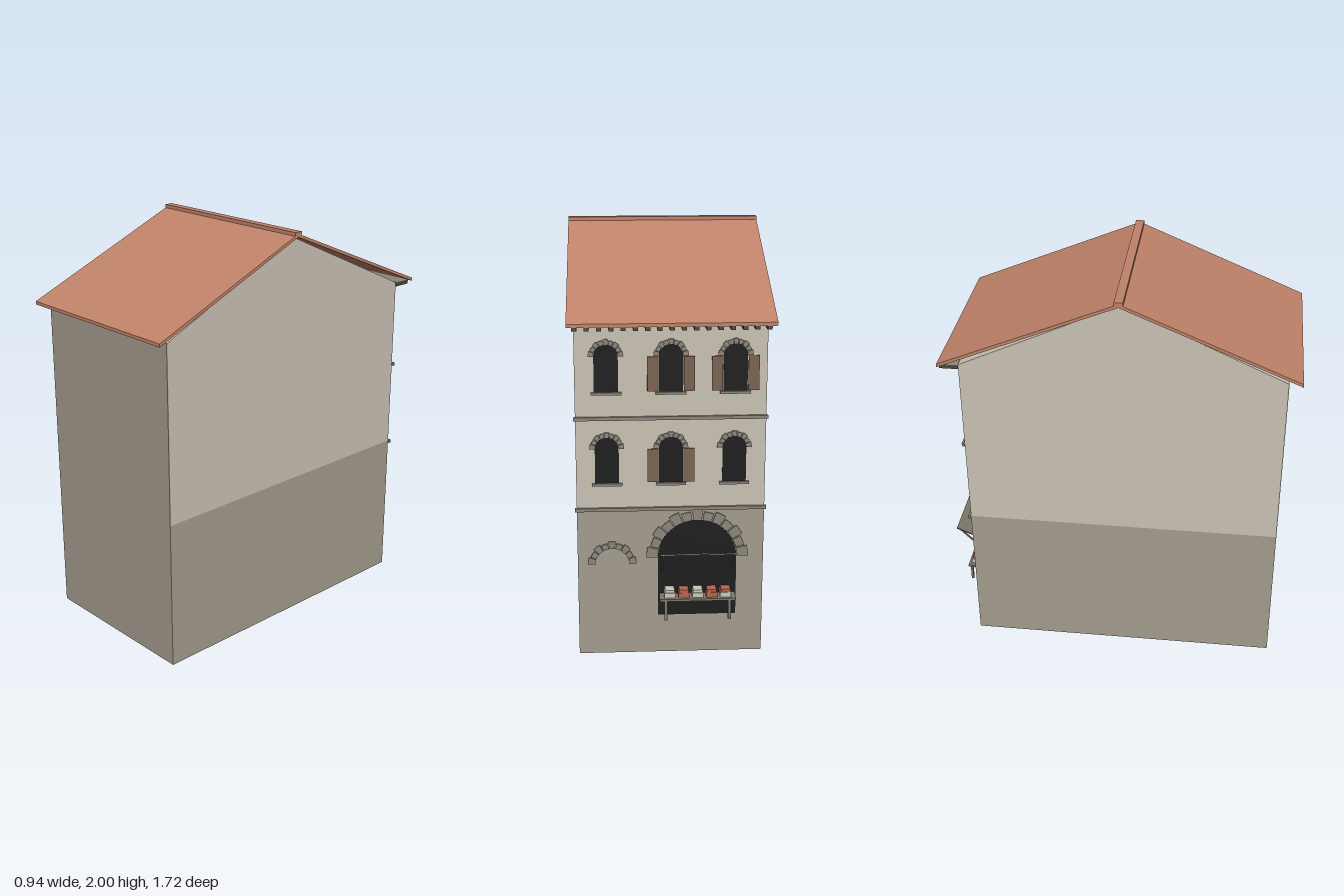
import * as THREE from 'three';

const mat = (name, color) => {
  const m = new THREE.MeshStandardMaterial({ color });
  m.name = name;
  return m;
};

export function createModel() {
  const stone = mat('stone', 0xa39b8d);
  const plaster = mat('plaster', 0xc9c1b4);
  const tile = mat('roofTile', 0xbf8269);
  const trim = mat('trimStone', 0x8b867c);
  const dark = mat('darkOpening', 0x1d1d1d);
  const shutterWood = mat('shutterWood', 0x7a6350);
  const rafterWood = mat('rafterWood', 0x55473b);
  const greyWood = mat('greyWood', 0x7c776a);
  const fruit = mat('redGoods', 0xb9644a);
  const linen = mat('paleGoods', 0xc8c8bc);

  const model = new THREE.Group();
  model.name = 'townHouse';

  const add = (parent, name, geometry, material) => {
    const mesh = new THREE.Mesh(geometry, material);
    mesh.name = name;
    parent.add(mesh);
    return mesh;
  };
  // Box given by its centre in x, bottom in y and back in z
  const box = (parent, name, material, w, h, d, x, y, z) => {
    const mesh = add(parent, name, new THREE.BoxGeometry(w, h, d), material);
    mesh.position.set(x, y + h / 2, z + d / 2);
    return mesh;
  };
  // Prism along x from a list of [z, y] corners
  const prism = (name, points, width, material) => {
    const shape = new THREE.Shape(points.map(p => new THREE.Vector2(...p)));
    const g = new THREE.ExtrudeGeometry(shape, { depth: width, bevelEnabled: false });
    g.rotateY(-Math.PI / 2).translate(width / 2, 0, 0);
    return add(model, name, g, material);
  };

  // Walls: stone ground floor, plastered upper floors, plain stone front
  const W = 0.875, back = -0.74, front = 0.8, ridgeZ = 0.02;
  box(model, 'groundFloor', stone, W, 0.74, front - back, 0, 0, back);
  prism('upperFloors', [[back, 0.74], [front - 0.005, 0.74], [front - 0.005, 1.62],
    [ridgeZ, 1.97], [back, 1.62]], W, plaster);
  box(model, 'frontWall', stone, W, 0.88, 0.005, 0, 0.74, front - 0.005);

  // Roof slopes and ridge cap
  prism('frontRoof', [[ridgeZ, 1.975], [0.863, 1.622], [0.863, 1.638], [ridgeZ, 1.991]], 0.935, tile);
  prism('backRoof', [[ridgeZ, 1.975], [ridgeZ, 1.991], [-0.835, 1.634], [-0.835, 1.618]], 0.935, tile);
  box(model, 'ridgeCap', tile, 0.935, 0.022, 0.042, 0, 1.978, ridgeZ - 0.021);

  // Street facade: local +z points out of the back wall
  const facade = new THREE.Group();
  facade.name = 'facade';
  facade.position.z = back;
  facade.rotation.y = Math.PI;
  model.add(facade);

  // Flat round-headed opening; y is the springing line, h the height below it
  const opening = (parent, name, x, y, r, h) => {
    const s = new THREE.Shape();
    s.moveTo(-r, -h);
    s.lineTo(r, -h);
    s.lineTo(r, 0);
    s.absarc(0, 0, r, 0, Math.PI, false);
    s.closePath();
    const g = new THREE.ExtrudeGeometry(s, { depth: 0.003, bevelEnabled: false, curveSegments: 16 });
    add(parent, name, g, dark).position.set(x, y, 0);
  };
  // Ring of separate wedge stones, alternately long and short
  const archStones = (parent, name, x, y, inner, outer, count, rough) => {
    const group = new THREE.Group();
    group.name = name;
    group.position.set(x, y, 0);
    const step = Math.PI / count, gap = step * 0.06;
    for (let i = 0; i < count; i++) {
      const a = i * step + gap, b = (i + 1) * step - gap;
      const r = outer - (i % 2 ? rough : 0);
      const s = new THREE.Shape();
      s.absarc(0, 0, r, a, b, false);
      s.absarc(0, 0, inner, b, a, true);
      s.closePath();
      add(group, 'wedgeStone', new THREE.ExtrudeGeometry(s,
        { depth: 0.007, bevelEnabled: false, curveSegments: 3 }), trim);
    }
    parent.add(group);
  };

  // String courses
  for (const y of [0.728, 1.168]) box(facade, 'stringCourse', trim, 0.89, 0.016, 0.013, 0, y, 0);

  // Windows, with shutters on some
  [[0.865, [1]], [1.3, [1, 2]]].forEach(([sill, shuttered]) => {
    [-0.295, 0, 0.293].forEach((x, i) => {
      const win = new THREE.Group();
      win.name = 'window';
      win.position.set(x, sill, 0);
      facade.add(win);
      opening(win, 'windowOpening', 0, 0.165, 0.055, 0.165);
      archStones(win, 'windowArch', 0, 0.165, 0.056, 0.08, 9, 0.004);
      box(win, 'windowSill', trim, 0.14, 0.012, 0.014, 0, -0.012, 0);
      if (shuttered.includes(i)) {
        for (const s of [-1, 1]) box(win, 'shutter', shutterWood, 0.05, 0.16, 0.007, s * 0.083, 0.003, 0);
      }
    });
  });

  // Shop opening and small blind arch
  opening(facade, 'shopOpening', 0.125, 0.49, 0.185, 0.295);
  archStones(facade, 'shopArch', 0.125, 0.49, 0.187, 0.24, 13, 0.012);
  archStones(facade, 'blindArch', -0.276, 0.46, 0.08, 0.115, 9, 0.008);

  // Raised awning board on two struts
  const bar = (name, x, w, t, z0, y0, z1, y1) => {
    const len = Math.hypot(z1 - z0, y1 - y0);
    const mesh = add(facade, name, new THREE.BoxGeometry(w, t, len), greyWood);
    mesh.position.set(x, (y0 + y1) / 2, (z0 + z1) / 2);
    mesh.rotation.x = -Math.atan2(y1 - y0, z1 - z0);
  };
  bar('awning', 0.125, 0.36, 0.006, 0, 0.5, 0.12, 0.55);
  for (const s of [-1, 1]) bar('awningStrut', 0.125 + s * 0.165, 0.007, 0.007, 0, 0.425, 0.115, 0.545);

  // Market counter with crates of goods
  box(facade, 'counterTop', greyWood, 0.36, 0.011, 0.075, 0.125, 0.295, 0);
  for (const s of [-1, 1]) {
    box(facade, 'counterLeg', greyWood, 0.014, 0.1, 0.012, 0.125 + s * 0.15, 0.196, 0.058);
  }
  [linen, fruit, linen, fruit, fruit].forEach((goods, i) => {
    const x = 0.125 + (i - 2) * 0.066;
    box(facade, 'crate', i % 2 ? fruit : linen, 0.052, 0.024, 0.056, x, 0.306, 0.004);
    box(facade, 'goods', goods, 0.044, 0.014, 0.048, x, 0.33, 0.008);
  });

  // Eave board and rafter tails
  box(facade, 'eaveBoard', trim, 0.9, 0.006, 0.085, 0, 1.616, 0);
  for (let i = 0; i < 17; i++) {
    box(facade, 'rafterTail', rafterWood, 0.022, 0.02, 0.09, (i - 8) * 0.054, 1.6, 0);
  }

  return model;
}
